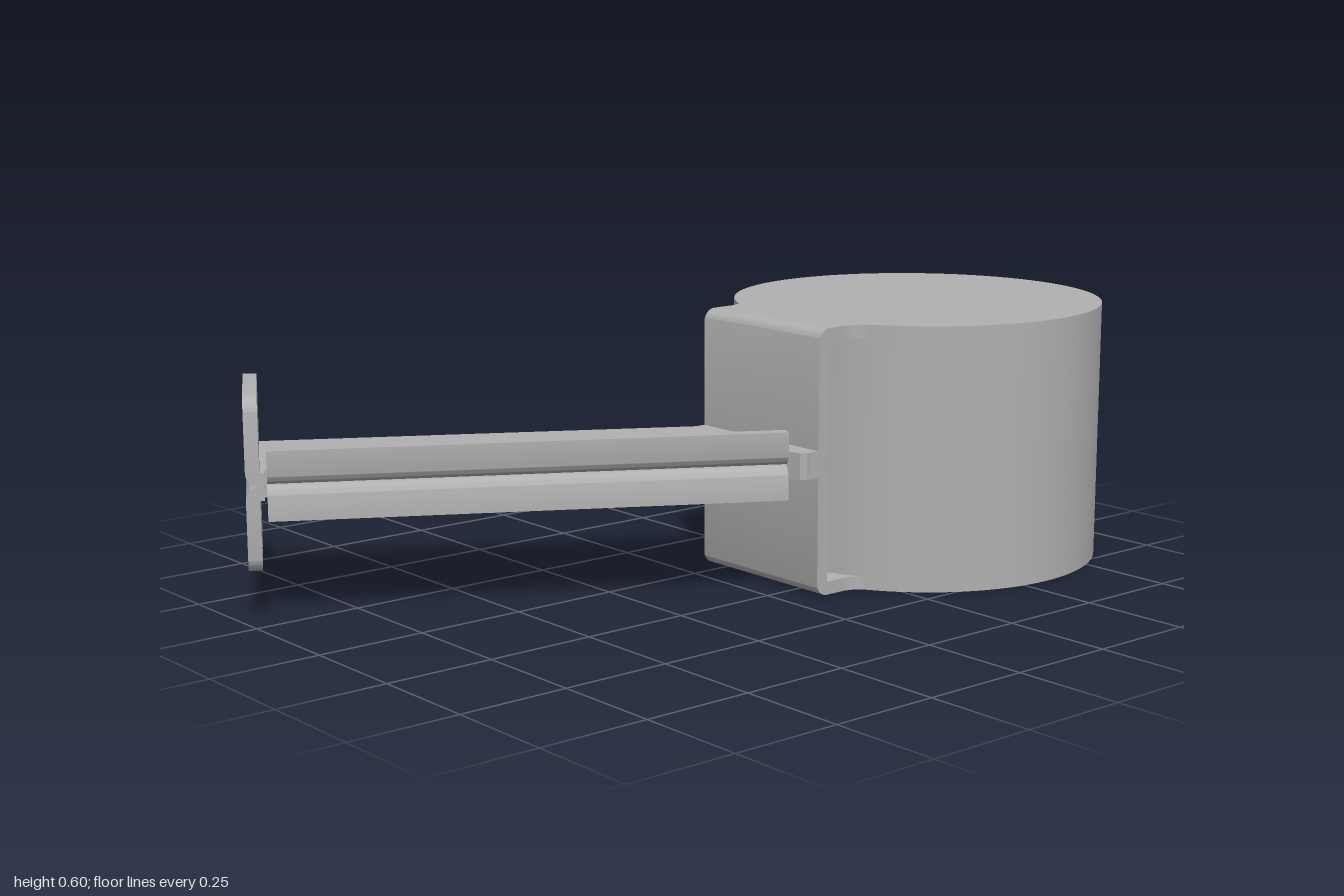
import * as THREE from 'three';
import { toCreasedNormals } from 'three/addons/utils/BufferGeometryUtils.js';

const T = 0.03;            // sheet thickness
const MID = 0.3;           // height of the symmetry plane
const WIDTH = 0.335;       // arm width
const DRUM = { x: 0.135, z: -0.57, r: 0.43 };
const LEFT = 0.33, RIGHT = -0.055;   // bracket sides

const metal = new THREE.MeshStandardMaterial({ color: 0xb0b0b0 });
metal.name = 'grey metal';

function extrude(shape, depth, curveSegments = 10) {
  const g = new THREE.ExtrudeGeometry(shape, { depth, bevelEnabled: false, curveSegments });
  return toCreasedNormals(g, 0.6);
}

// plan outline (x, z) extruded downwards from height top
const plan = (shape, top, depth, seg) =>
  extrude(shape, depth, seg).rotateX(Math.PI / 2).translate(0, top, 0);

// side profile (z, y) extruded from x = left towards -x
const side = (shape, left, depth) =>
  extrude(shape, depth).rotateY(-Math.PI / 2).translate(left, 0, 0);

// reflect a non-indexed geometry in y = 0, keeping faces outward
function mirrorY(geo) {
  const g = geo.clone();
  for (const name of ['position', 'normal']) {
    const a = g.attributes[name];
    for (let i = 0; i < a.count; i++) a.setY(i, -a.getY(i));
    for (let i = 0; i < a.count; i += 3) {
      const p = new THREE.Vector3().fromBufferAttribute(a, i + 1);
      const q = new THREE.Vector3().fromBufferAttribute(a, i + 2);
      a.setXYZ(i + 1, q.x, q.y, q.z);
      a.setXYZ(i + 2, p.x, p.y, p.z);
    }
  }
  return g;
}

function add(parent, name, geo) {
  const m = new THREE.Mesh(geo, metal);
  m.name = name;
  parent.add(m);
}

function addPair(parent, name, geo) {
  add(parent, 'upper ' + name, geo);
  add(parent, 'lower ' + name, mirrorY(geo));
}

// L section with a rounded outer corner at the origin
function angleSection(w, h) {
  const s = new THREE.Shape();
  s.moveTo(-w, 0);
  s.lineTo(-T, 0);
  s.absarc(-T, T, T, -Math.PI / 2, 0, false);
  s.lineTo(0, h);
  s.lineTo(-T, h);
  s.lineTo(-T, T);
  s.lineTo(-w, T);
  return s;
}

export function createModel() {
  const model = new THREE.Group();
  model.name = 'drum on bracket arm';

  // drum with a stepped recess in its base
  const drum = new THREE.Group();
  drum.name = 'drum';
  drum.position.set(DRUM.x, 0, DRUM.z);
  model.add(drum);
  const recess = 0.04;
  add(drum, 'drum body',
    new THREE.CylinderGeometry(DRUM.r, DRUM.r, 0.6 - recess, 96).translate(0, (0.6 + recess) / 2, 0));
  const rim = new THREE.Shape().absarc(0, 0, DRUM.r, 0, Math.PI * 2, false);
  const a = THREE.MathUtils.degToRad(101), b = THREE.MathUtils.degToRad(302);
  const hole = new THREE.Path();
  hole.absarc(0, 0, 0.33, a, b, false);
  hole.absarc(0, 0, 0.265, b, a + Math.PI * 2, false);
  rim.holes.push(hole);
  add(drum, 'base rim', plan(rim, recess, recess, 48));

  // everything below is mirrored about the middle height
  const frame = new THREE.Group();
  frame.name = 'sheet metal frame';
  frame.position.y = MID;
  model.add(frame);

  // folded bracket: tab on the drum, front plate, start of the web
  const fold = new THREE.Shape();
  fold.moveTo(-0.185, 0.3);
  fold.lineTo(-0.105, 0.3);
  fold.absarc(-0.105, 0.27, T, Math.PI / 2, 0, true);
  fold.lineTo(-0.075, T);
  fold.lineTo(-0.045, T);
  fold.lineTo(-0.045, 0);
  fold.lineTo(-0.075, 0);
  fold.absarc(-0.075, T, T, -Math.PI / 2, -Math.PI, true);
  fold.lineTo(-0.105, 0.27);
  fold.lineTo(-0.185, 0.27);
  addPair(frame, 'bracket', side(fold, LEFT, LEFT - RIGHT));

  // small flares joining the tabs to the drum
  for (const s of [1, -1]) {
    const cx = (LEFT + RIGHT) / 2, hw = (LEFT - RIGHT) / 2;
    const flare = new THREE.Shape();
    flare.moveTo(cx + s * hw, -0.15);
    flare.quadraticCurveTo(cx + s * hw, -0.185, cx + s * (hw + 0.032), -0.207);
    flare.lineTo(cx + s * (hw - 0.03), -0.22);
    flare.lineTo(cx + s * (hw - 0.03), -0.15);
    addPair(frame, s > 0 ? 'left tab flare' : 'right tab flare', plan(flare, 0.3, T));
  }

  // arm, local z running out to its end, x = 0 on the lipped edge
  const arm = new THREE.Group();
  arm.name = 'arm';
  arm.position.set(-0.28, 0, 0.997);
  arm.rotation.y = -Math.PI / 6;
  frame.add(arm);

  // web plate, cut square to the bracket at its inner end
  const c = Math.cos(Math.PI / 6), d = 0.5;
  const at = (x, z) => new THREE.Vector2(-0.28 + x * c - z * d, 0.997 + x * d + z * c);
  const web = new THREE.Shape([
    new THREE.Vector2(RIGHT, -0.05), new THREE.Vector2(LEFT, -0.05),
    new THREE.Vector2(0.32, -0.03), at(-T, -1.16), at(-T, -T), at(-WIDTH, -T),
    new THREE.Vector2(RIGHT - 0.005, -0.04),
  ]);
  addPair(frame, 'web', plan(web, T, T));

  // stiffening lips along one edge
  addPair(arm, 'lip', extrude(angleSection(0.04, 0.076), 1.12).translate(0, 0, -1.165));

  // end plates with rounded corners and two bolt holes each
  addPair(arm, 'end bend', side(angleSection(0.04, T), 0, WIDTH));
  const top = 0.19, r = 0.04;
  const plate = new THREE.Shape();
  plate.moveTo(-WIDTH, T);
  plate.lineTo(0, T);
  plate.lineTo(0, top - r);
  plate.absarc(-r, top - r, r, 0, Math.PI / 2, false);
  plate.lineTo(-WIDTH + r, top);
  plate.absarc(-WIDTH + r, top - r, r, Math.PI / 2, Math.PI, false);
  for (const x of [-0.04, -WIDTH + 0.04]) {
    plate.holes.push(new THREE.Path().absarc(x, 0.13, 0.016, 0, Math.PI * 2, true));
  }
  addPair(arm, 'end plate', extrude(plate, T).translate(0, 0, -T));

  return model;
}
